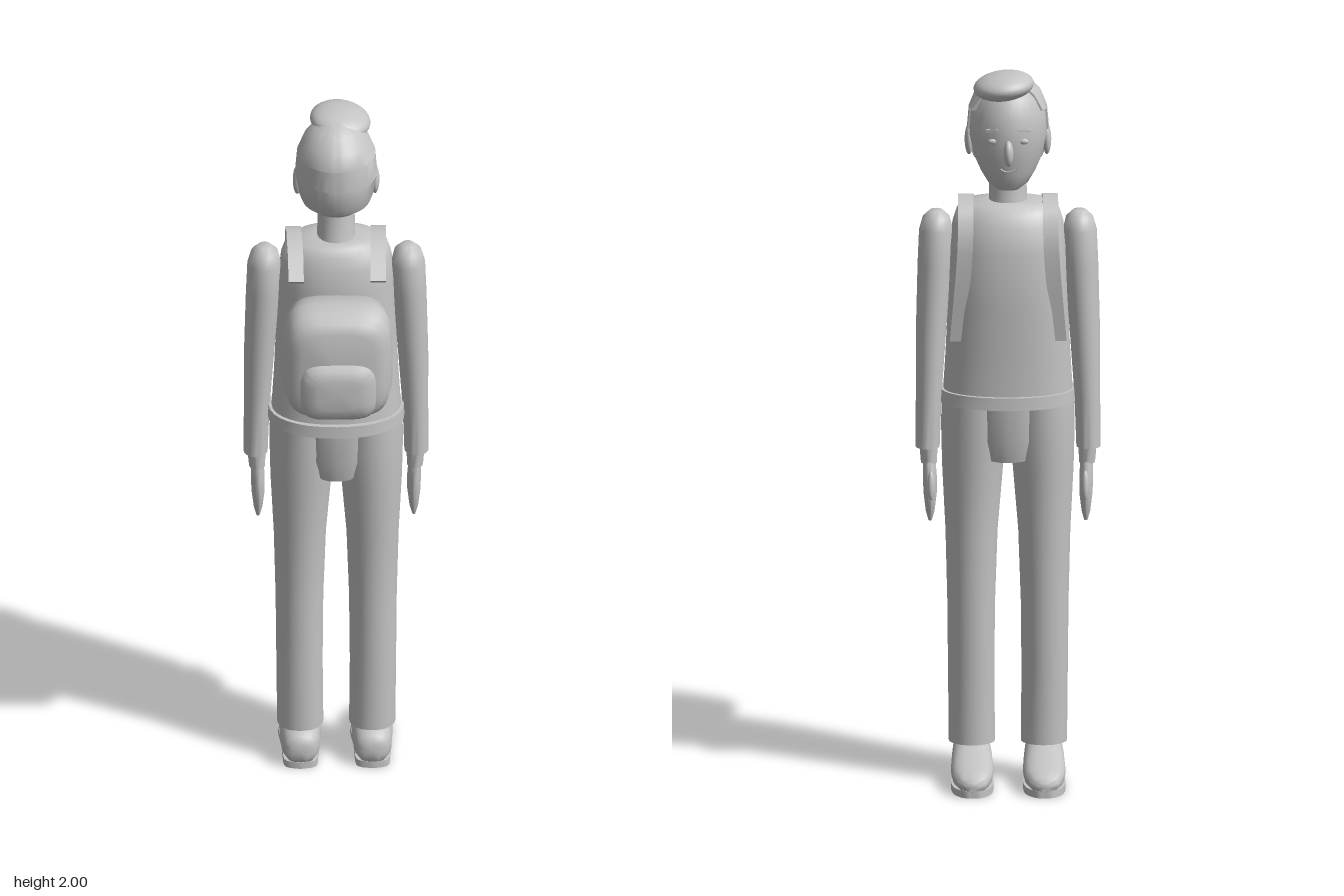
import * as THREE from 'three';
import { toCreasedNormals } from 'three/addons/utils/BufferGeometryUtils.js';

const grey = new THREE.MeshStandardMaterial({ color: 0xc4c4c4 });
grey.name = 'plain grey';

// Skin over stacked cross-sections: [y, rx, zCentre, rz, xCentre, span]
// span is the half angle covered around the +z side
function loft(rows, power = 2, n = 24) {
  const pos = [], idx = [];
  const pw = v => Math.sign(v) * Math.pow(Math.abs(v), 2 / power);
  rows.forEach(([y, rx, zc, rz, xc = 0, span = Math.PI]) => {
    for (let j = 0; j < n; j++) {
      const t = span === Math.PI ? j / n : j / (n - 1);
      const a = Math.PI / 2 + span * (2 * t - 1);
      pos.push(xc + rx * pw(Math.cos(a)), y, zc + rz * pw(Math.sin(a)));
    }
  });
  for (let i = 0; i < rows.length - 1; i++) {
    for (let j = 0; j < n; j++) {
      const a = i * n + j, b = i * n + (j + 1) % n;
      idx.push(a, a + n, b, b, a + n, b + n);
    }
  }
  // end caps
  [0, rows.length - 1].forEach((r, top) => {
    const c = pos.length / 3, [y, , zc, , xc = 0] = rows[r];
    pos.push(xc, y, zc);
    for (let j = 0; j < n; j++) {
      const a = r * n + j, b = r * n + (j + 1) % n;
      if (top) idx.push(c, b, a); else idx.push(c, a, b);
    }
  });
  const g = new THREE.BufferGeometry();
  g.setAttribute('position', new THREE.Float32BufferAttribute(pos, 3));
  g.setIndex(idx);
  return toCreasedNormals(g, 0.85);
}

// Same skin laid along z: rows are [z, rx, yCentre, ry, xCentre]
const loftZ = (rows, power, n) =>
  loft(rows.map(([z, rx, yc, ry, xc]) => [z, rx, -yc, ry, xc]), power, n).rotateX(Math.PI / 2);

// Flat band following a list of points, its width along x
function band(points, width, thick) {
  const n = 28, curve = new THREE.CatmullRomCurve3(points.map(p => new THREE.Vector3(...p)));
  const g = new THREE.BoxGeometry(width, 1, thick, 1, n, 1), p = g.attributes.position;
  for (let i = 0; i < p.count; i++) {
    const t = THREE.MathUtils.clamp(p.getY(i) + 0.5, 0, 1);
    const c = curve.getPoint(t), d = curve.getTangent(t), l = Math.hypot(d.y, d.z);
    const o = p.getZ(i);
    p.setXYZ(i, c.x + p.getX(i), c.y - o * d.z / l, c.z + o * d.y / l);
  }
  g.computeVertexNormals();
  return g;
}

export function createModel() {
  const model = new THREE.Group();
  const add = (name, geo, x = 0, y = 0, z = 0) => {
    const m = new THREE.Mesh(geo, grey);
    m.name = name;
    m.position.set(x, y, z);
    model.add(m);
    return m;
  };
  const blob = (name, r, x, y, z) => {
    const m = add(name, new THREE.SphereGeometry(1, 24, 16), x, y, z);
    m.scale.set(...r);
    return m;
  };

  // Head, hair and neck
  add('head', loft([
    [1.673, 0.03, -0.09, 0.03], [1.69, 0.055, -0.078, 0.055], [1.72, 0.075, -0.06, 0.083],
    [1.76, 0.094, -0.045, 0.109], [1.82, 0.107, -0.042, 0.122], [1.88, 0.105, -0.04, 0.119],
    [1.93, 0.088, -0.04, 0.1], [1.965, 0.058, -0.045, 0.07], [1.983, 0.02, -0.05, 0.025]], 2, 32));
  add('hair', loft([
    [1.745, 0.093, -0.042, 0.103, 0, 1.45], [1.77, 0.102, -0.041, 0.117, 0, 1.5],
    [1.83, 0.112, -0.04, 0.126, 0, 1.55], [1.832, 0.112, -0.04, 0.126, 0, 1.75],
    [1.89, 0.107, -0.04, 0.12, 0, 1.8], [1.892, 0.107, -0.04, 0.12, 0, 2.05],
    [1.935, 0.09, -0.04, 0.102, 0, 2.2], [1.968, 0.062, -0.045, 0.074, 0, 2.4],
    [1.987, 0.022, -0.05, 0.03, 0, 2.6]], 2, 32));
  blob('quiff', [0.083, 0.038, 0.09], 0.012, 1.961, -0.09).rotation.z = -0.12;
  add('neck', loft([[1.59, 0.06, -0.04, 0.068], [1.63, 0.052, -0.042, 0.056],
    [1.72, 0.05, -0.047, 0.048]]));

  // Face
  blob('nose', [0.014, 0.036, 0.024], 0, 1.79, -0.17);
  const mouth = add('mouth', new THREE.TorusGeometry(0.03, 0.003, 6, 16, 1.6), 0, 1.762, -0.145);
  mouth.rotation.z = -Math.PI / 2 - 0.8;
  for (const s of [-1, 1]) {
    blob('ear', [0.012, 0.043, 0.022], s * 0.106, 1.8, -0.045);
    blob('eye', [0.013, 0.008, 0.006], s * 0.042, 1.82, -0.153);
    const brow = add('eyebrow', new THREE.BoxGeometry(0.034, 0.008, 0.009), s * 0.044, 1.85, -0.15);
    brow.rotation.set(0, s * -0.3, s * -0.12);
  }

  // Jumper with hem, and seat of the trousers
  add('torso', loft([
    [1.07, 0.178, -0.035, 0.118], [1.2, 0.17, -0.04, 0.115], [1.35, 0.163, -0.045, 0.118],
    [1.5, 0.158, -0.045, 0.12], [1.57, 0.151, -0.042, 0.108], [1.605, 0.14, -0.04, 0.092],
    [1.625, 0.115, -0.038, 0.078], [1.632, 0.06, -0.038, 0.06]], 2.2, 32));
  add('hem', loft([[1.065, 0.186, -0.035, 0.132], [1.1, 0.184, -0.035, 0.13]], 2.2, 32));
  add('trouserSeat', loft([[0.91, 0.064, -0.035, 0.098], [0.97, 0.084, -0.035, 0.114],
    [1.08, 0.095, -0.035, 0.118]], 2.6));

  // Backpack and pocket
  add('backpack', loftZ([
    [0.07, 0.125, 1.357, 0.142], [0.09, 0.14, 1.357, 0.156], [0.155, 0.15, 1.357, 0.168],
    [0.205, 0.143, 1.357, 0.16], [0.228, 0.128, 1.357, 0.143],
    [0.239, 0.1, 1.357, 0.115]], 4, 40));
  add('backpackPocket', loftZ([
    [0.2, 0.104, 1.293, 0.087], [0.238, 0.103, 1.293, 0.086], [0.254, 0.09, 1.293, 0.073],
    [0.261, 0.055, 1.293, 0.045]], 4, 40));

  for (const s of [-1, 1]) {
    add('strap', band([
      [0.112, 1.56, 0.1], [0.112, 1.602, 0.05], [0.114, 1.628, 0], [0.115, 1.632, -0.05],
      [0.116, 1.615, -0.1], [0.116, 1.57, -0.127], [0.118, 1.5, -0.139], [0.138, 1.25, -0.115],
    ].map(([x, y, z]) => [s * x, y, z]), 0.042, 0.012));

    // Mirrors the x centre given in the fifth place of a row
    const side = rows => rows.map(([a, b, c, d, x]) => [a, b, c, d, s * x]);

    // Arm, wrist and hand
    add('sleeve', loft(side([
      [0.94, 0.033, -0.062, 0.04, 0.219], [1.08, 0.035, -0.058, 0.043, 0.216],
      [1.25, 0.041, -0.05, 0.049, 0.21], [1.45, 0.046, -0.04, 0.053, 0.2],
      [1.545, 0.046, -0.038, 0.052, 0.196], [1.58, 0.037, -0.037, 0.042, 0.195],
      [1.598, 0.018, -0.037, 0.022, 0.195]])));
    add('wrist', loft(side([[0.895, 0.022, -0.06, 0.03, 0.215], [0.95, 0.025, -0.06, 0.034, 0.217]])));
    add('hand', loft(side([
      [0.735, 0.005, -0.07, 0.012, 0.212], [0.76, 0.012, -0.07, 0.025, 0.212],
      [0.81, 0.018, -0.07, 0.037, 0.212], [0.86, 0.019, -0.067, 0.038, 0.213],
      [0.91, 0.017, -0.06, 0.027, 0.215]])));
    blob('thumb', [0.01, 0.04, 0.011], s * 0.21, 0.84, -0.106).rotation.x = 0.15;

    // Trouser leg
    add('trouserLeg', loft(side([
      [0.105, 0.063, -0.033, 0.062, 0.098], [0.3, 0.063, -0.033, 0.068, 0.1],
      [0.5, 0.065, -0.04, 0.07, 0.1], [0.7, 0.071, -0.036, 0.079, 0.099],
      [0.88, 0.083, -0.033, 0.095, 0.096], [1.0, 0.09, -0.035, 0.108, 0.092],
      [1.08, 0.09, -0.035, 0.11, 0.09]])));

    // Shoe and sole
    add('shoe', loftZ(side([
      [-0.264, 0.018, 0.03, 0.012, 0.098], [-0.25, 0.038, 0.034, 0.022, 0.098],
      [-0.2, 0.054, 0.04, 0.03, 0.098], [-0.15, 0.058, 0.046, 0.036, 0.098],
      [-0.1, 0.057, 0.053, 0.043, 0.098], [-0.05, 0.055, 0.06, 0.052, 0.098],
      [0.02, 0.052, 0.06, 0.052, 0.098], [0.044, 0.042, 0.055, 0.042, 0.098],
      [0.054, 0.024, 0.05, 0.026, 0.098]]), 2.4));
    const outline = new THREE.Shape(new THREE.SplineCurve([
      [0, 0.052], [0.04, 0.04], [0.048, 0], [0.05, -0.07], [0.058, -0.15], [0.05, -0.22],
      [0.025, -0.258], [0, -0.263], [-0.025, -0.258], [-0.05, -0.22], [-0.058, -0.15],
      [-0.05, -0.07], [-0.048, 0], [-0.04, 0.04], [0, 0.052],
    ].map(([x, z]) => new THREE.Vector2(x, -z))).getPoints(42).slice(0, -1));
    const sole = new THREE.ExtrudeGeometry(outline, { depth: 0.02, bevelEnabled: false });
    add('sole', toCreasedNormals(sole.rotateX(-Math.PI / 2), 0.7), s * 0.098, 0, 0);
  }
  return model;
}
